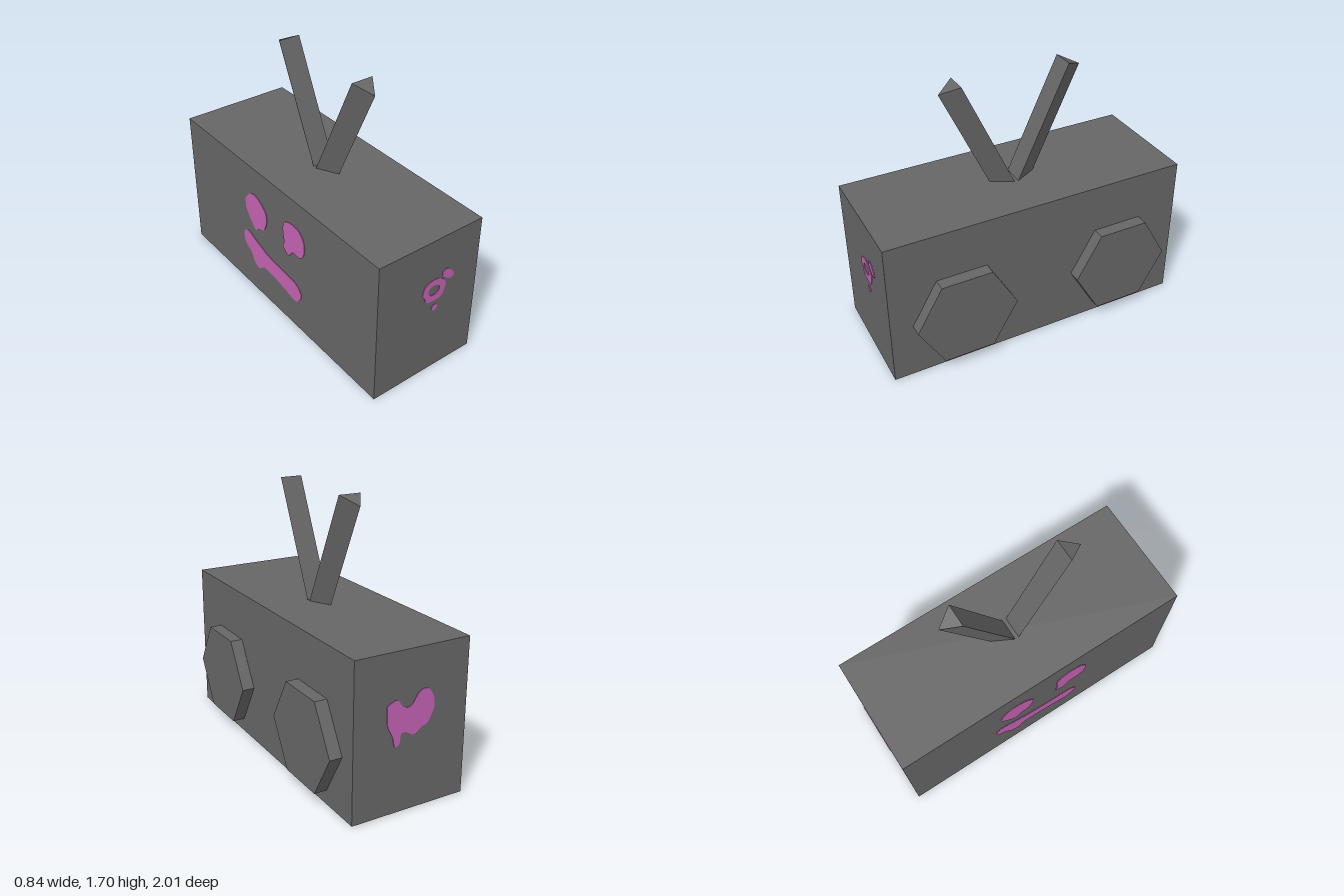
import * as THREE from 'three';

export function createModel() {
  const gray = new THREE.MeshStandardMaterial({ color: 0x666666, flatShading: true });
  gray.name = 'dark gray';
  const pink = new THREE.MeshStandardMaterial({ color: 0xc462b2 });
  pink.name = 'pink paint';

  const model = new THREE.Group();
  model.name = 'boombox';
  const add = (name, geometry, material, parent = model) => {
    const mesh = new THREE.Mesh(geometry, material);
    mesh.name = name;
    parent.add(mesh);
    return mesh;
  };

  // Body
  add('body', new THREE.BoxGeometry(0.76, 0.98, 2), gray).position.set(-0.04, 0.49, 0);

  // Hexagonal speakers on the +x side
  for (const z of [0.527, -0.563]) {
    const speaker = add('speaker', new THREE.CylinderGeometry(0.33, 0.33, 0.08, 6).rotateZ(-Math.PI / 2), gray);
    speaker.position.set(0.38, 0.375, z);
  }

  // Two triangular antennas in a V, ridges facing outwards
  const tilt = THREE.MathUtils.degToRad(25);
  for (const turn of [0, Math.PI]) {
    const pivot = new THREE.Group();
    pivot.name = 'antenna';
    pivot.position.set(-0.033, 0, 0.005);
    pivot.rotation.y = turn;
    model.add(pivot);
    const rod = add('antennaRod', new THREE.CylinderGeometry(0.084, 0.084, 1, 3).translate(0, -0.5, 0), gray, pivot);
    rod.position.set(0, 1.683, 0.387);
    rod.rotation.x = tilt;
  }

  // Painted blobs: thin plates cut from smooth closed outlines
  const outline = (pts) => {
    const v = pts.map(([x, y]) => new THREE.Vector2(x, y));
    return new THREE.Shape(new THREE.SplineCurve([...v, v[0]]).getPoints(72).slice(0, -1));
  };
  const oval = (x, y, rx, ry) => new THREE.Shape().absellipse(x, y, rx, ry, 0, Math.PI * 2);
  const paint = (name, shape, side) =>
    add(name, new THREE.ExtrudeGeometry(shape, { depth: 0.004, bevelEnabled: false, curveSegments: 16 }), pink, side);
  const face = (name, x, z, turn) => {
    const group = new THREE.Group();
    group.name = name;
    group.position.set(x, 0, z);
    group.rotation.y = turn;
    model.add(group);
    return group;
  };

  // Front: ring, dash and dot
  const front = face('frontPaint', 0, 1, 0);
  const ring = outline([[-0.09, 0.62], [-0.075, 0.67], [-0.035, 0.694], [0.03, 0.694], [0.083, 0.65],
    [0.083, 0.6], [0.05, 0.547], [-0.045, 0.547], [-0.07, 0.585]]);
  ring.holes.push(oval(-0.003, 0.622, 0.043, 0.036));
  paint('ring', ring, front);
  paint('dash', outline([[0.058, 0.728], [0.09, 0.735], [0.117, 0.72], [0.144, 0.685], [0.144, 0.66],
    [0.12, 0.653], [0.09, 0.668], [0.058, 0.703]]), front);
  paint('dot', oval(0.012, 0.484, 0.022, 0.022), front);

  // Back: splat, outline mirrored because it is seen from behind
  const back = face('backPaint', 0, -1, Math.PI);
  paint('splat', outline([[0.126, 0.674], [0.063, 0.698], [0.023, 0.652], [-0.032, 0.645], [-0.087, 0.718],
    [-0.143, 0.726], [-0.182, 0.672], [-0.19, 0.603], [-0.151, 0.52], [-0.111, 0.502], [-0.056, 0.466],
    [0, 0.494], [0.031, 0.485], [0.039, 0.433], [0.071, 0.417], [0.087, 0.484], [0.119, 0.547],
    [0.126, 0.624]].map(([x, y]) => [-x, y])), back);

  // Plain long side: dripping smile
  const side = face('smilePaint', -0.42, 0, -Math.PI / 2);
  paint('rearEye', outline([[-0.314, 0.711], [-0.247, 0.778], [-0.168, 0.776], [-0.09, 0.718], [-0.078, 0.649],
    [-0.112, 0.569], [-0.168, 0.547], [-0.213, 0.515], [-0.27, 0.572], [-0.314, 0.639]]), side);
  paint('frontEye', outline([[0.102, 0.709], [0.124, 0.772], [0.203, 0.799], [0.281, 0.783], [0.326, 0.716],
    [0.315, 0.628], [0.27, 0.587], [0.203, 0.585], [0.158, 0.537], [0.102, 0.573], [0.113, 0.619]]), side);
  paint('mouth', outline([[-0.359, 0.413], [-0.314, 0.453], [-0.213, 0.422], [-0.067, 0.38], [0.102, 0.366],
    [0.225, 0.354], [0.281, 0.304], [0.27, 0.251], [0.214, 0.209], [0.102, 0.23], [-0.045, 0.251],
    [-0.135, 0.249], [-0.191, 0.206], [-0.247, 0.234], [-0.281, 0.29], [-0.348, 0.337]]), side);

  return model;
}
